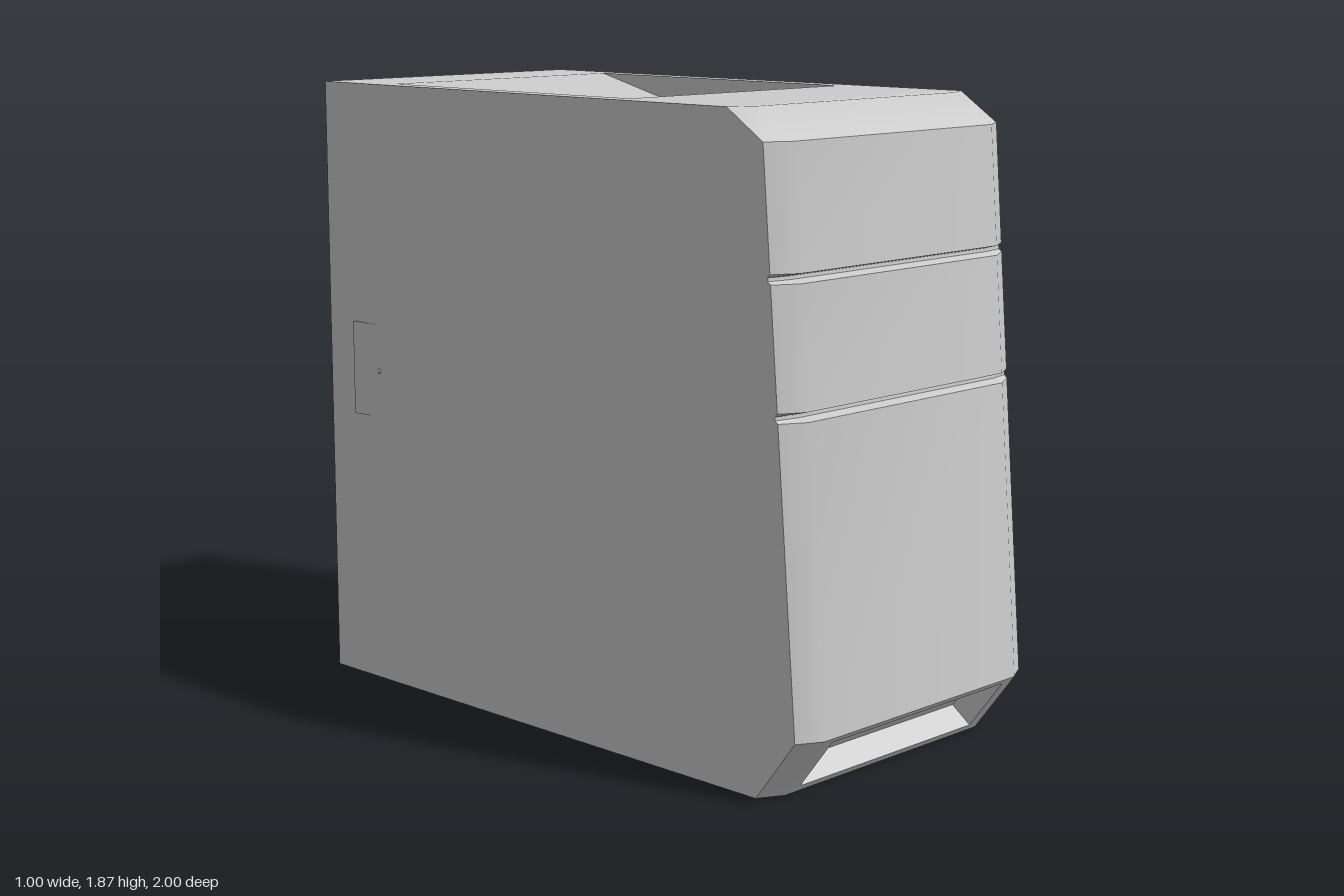
import * as THREE from 'three';
import { toCreasedNormals } from 'three/addons/utils/BufferGeometryUtils.js';

const W = 0.495, C = 0.42, H = 1.865, BACK = -1;
const material = new THREE.MeshStandardMaterial({ color: 0xcccccc });

// Collects quads into one surface; corners run counter-clockwise seen from outside
class Surface {
  constructor() { this.data = []; }
  quad(a, b, c, d) { this.data.push(...a, ...b, ...c, ...a, ...c, ...d); }
  ring(outer, inner) {
    for (let i = 0; i < 4; i++) {
      const j = (i + 1) % 4;
      this.quad(outer[i], outer[j], inner[j], inner[i]);
    }
  }
  // Rim, walls and optional floor of a four-sided pocket; returns the floor corners
  pocket(outer, inner, depth, floor = true) {
    const deep = inner.map(p => p.map((v, k) => v + depth[k]));
    this.ring(outer, inner);
    this.ring(inner, deep);
    if (floor) this.quad(...deep);
    return deep;
  }
  mesh(name) {
    const g = new THREE.BufferGeometry();
    g.setAttribute('position', new THREE.Float32BufferAttribute(this.data, 3));
    return named(toCreasedNormals(g, 0.66), name);
  }
}

function named(geometry, name) {
  const m = new THREE.Mesh(geometry, material);
  m.name = name;
  return m;
}

// Rectangles facing up, and facing the back
const flatRect = (x, z0, z1, y) => [[-x, y, z1], [x, y, z1], [x, y, z0], [-x, y, z0]];
const backRect = (x, y0, y1, z) => [[x, y0, z], [-x, y0, z], [-x, y1, z], [x, y1, z]];

// Front profile from bottom to top: [y, z in the middle, z at the sides]
function frontProfile() {
  const zAt = y => 1 - (y - 0.185) * 0.13 / 1.595;
  const rows = [[0, 0.86, 0.82], [0.185, 1, 0.96]];
  for (const y of [1.045, 1.41]) {
    for (const [dy, inset] of [[0, 0], [0.008, 0.035], [0.018, 0.035], [0.027, 0]]) {
      const z = zAt(y + dy);
      rows.push([y + dy, z - inset, z - 0.04 - inset * 0.25]);
    }
  }
  rows.push([1.78, 0.87, 0.83], [H, 0.74, 0.70]);
  return rows;
}

function frontPanel(rows) {
  const s = new Surface();
  const pts = rows.map(([y, zc, zs]) => [[-W, y, zs], [-C, y, zc], [C, y, zc], [W, y, zs]]);
  for (let r = 0; r < pts.length - 1; r++) {
    const a = pts[r], b = pts[r + 1];
    for (let i = 0; i < 3; i++) {
      if (r === 0 && i === 1) continue;
      s.quad(a[i], a[i + 1], b[i + 1], b[i]);
    }
  }
  // Air intake sunk into the lower chamfer
  const onChamfer = (x, y) => [x, y, 0.86 + y * 0.14 / 0.185];
  s.pocket(
    [pts[0][1], pts[0][2], pts[1][2], pts[1][1]],
    [onChamfer(-0.375, 0.02), onChamfer(0.375, 0.02), onChamfer(0.375, 0.17), onChamfer(-0.375, 0.17)],
    [0, 0.048, -0.064]);
  // Lips that meet the flat top and bottom
  const t = pts[pts.length - 1], b = pts[0];
  s.quad(t[0], t[1], t[2], t[3]);
  s.quad(b[3], b[2], b[1], b[0]);
  s.quad(t[0], t[1], t[2], t[3]);
  return s.mesh('frontPanel');
}

function sidePanel(rows, sign) {
  const outline = rows.map(([y, , zs]) => new THREE.Vector2(-sign * zs, y));
  outline.push(new THREE.Vector2(-sign * BACK, H), new THREE.Vector2(-sign * BACK, 0));
  const g = new THREE.ShapeGeometry(new THREE.Shape(outline));
  g.rotateY(sign * Math.PI / 2);
  g.translate(sign * W, 0, 0);
  return named(g, sign > 0 ? 'leftSide' : 'rightSide');
}

// Top with a tray that slopes down towards a slotted wall
function topPanel() {
  const s = new Surface();
  const x = 0.435, z0 = -0.73, z1 = 0.06, z2 = 0.28, low = 1.665;
  s.ring(flatRect(W, BACK, 0.70, H), flatRect(x, z0, z2, H));
  s.quad(...flatRect(x, z1, z2, low));
  s.quad([-x, low, z1], [x, low, z1], [x, H, z0], [-x, H, z0]);
  const wall = k => [[k, H, z2], [k, low, z2], [k, low, z1], [k, H, z0]];
  s.quad(...wall(-x));
  const [d, c, b, a] = wall(x);
  s.quad(d, a, b, c);
  s.pocket(backRect(x, low, H, z2), backRect(0.365, 1.69, 1.825, z2), [0, 0, 0.08]);
  return s.mesh('topTray');
}

function bottomPanel() {
  const s = new Surface();
  s.quad(...flatRect(W, BACK, 0.82, 0).reverse());
  return s.mesh('bottom');
}

// Back rim, recessed plate and the deeper power supply bay
function backPanel() {
  const s = new Surface();
  const plate = s.pocket(backRect(W, 0, H, BACK), backRect(0.465, 0.065, 1.81, BACK), [0, 0, 0.03], false);
  s.pocket(plate, backRect(0.43, 1.0, 1.69, -0.97), [0, 0, 0.03], false);
  return s.mesh('backPanel');
}

function fanBay() {
  const group = new THREE.Group();
  group.name = 'fanBay';
  const cx = 0.14, cy = 1.345, r = 0.24;
  const shape = new THREE.Shape([[-0.43, 1.0], [0.43, 1.0], [0.43, 1.69], [-0.43, 1.69]]
    .map(p => new THREE.Vector2(...p)));
  const ring = [];
  for (let i = 0; i < 12; i++) {
    const a = i * Math.PI / 6;
    ring.push(new THREE.Vector2(cx + r * Math.sin(a), cy + r * Math.cos(a)));
  }
  shape.holes.push(new THREE.Path(ring));
  const plate = named(new THREE.ExtrudeGeometry(shape, { depth: 0.02, bevelEnabled: false }), 'fanPlate');
  plate.position.z = -0.94;
  group.add(plate);
  const disc = (name, radius, z0, z1) => {
    const g = new THREE.CylinderGeometry(radius, radius, z1 - z0, 12);
    g.rotateX(Math.PI / 2);
    g.translate(cx, cy, (z0 + z1) / 2);
    group.add(named(toCreasedNormals(g, 0.66), name));
  };
  disc('fanDisc', r, -0.92, -0.91);
  disc('fanHub', 0.035, -0.95, -0.91);
  return group;
}

// Thin wedge-shaped catch with a small lock on the right side
function sideLatch() {
  const group = new THREE.Group();
  group.name = 'sideLatch';
  const wedge = new THREE.Shape([[-W + 0.002, 0.88], [-W - 0.007, 0.88], [-W, 0.757], [-W + 0.002, 0.757]]
    .map(p => new THREE.Vector2(...p)));
  const g = new THREE.ExtrudeGeometry(wedge, { depth: 0.29, bevelEnabled: false });
  g.rotateX(-Math.PI / 2);
  g.translate(0, 0.84, 0);
  group.add(named(g, 'latchPlate'));
  const lock = new THREE.CylinderGeometry(0.008, 0.008, 0.006, 8);
  lock.rotateZ(Math.PI / 2);
  lock.translate(-W - 0.001, 0.985, -0.765);
  group.add(named(lock, 'latchLock'));
  return group;
}

export function createModel() {
  const model = new THREE.Group();
  model.name = 'computerTower';
  const rows = frontProfile();
  model.add(
    frontPanel(rows), sidePanel(rows, 1), sidePanel(rows, -1),
    topPanel(), bottomPanel(), backPanel(), fanBay(), sideLatch());
  return model;
}
